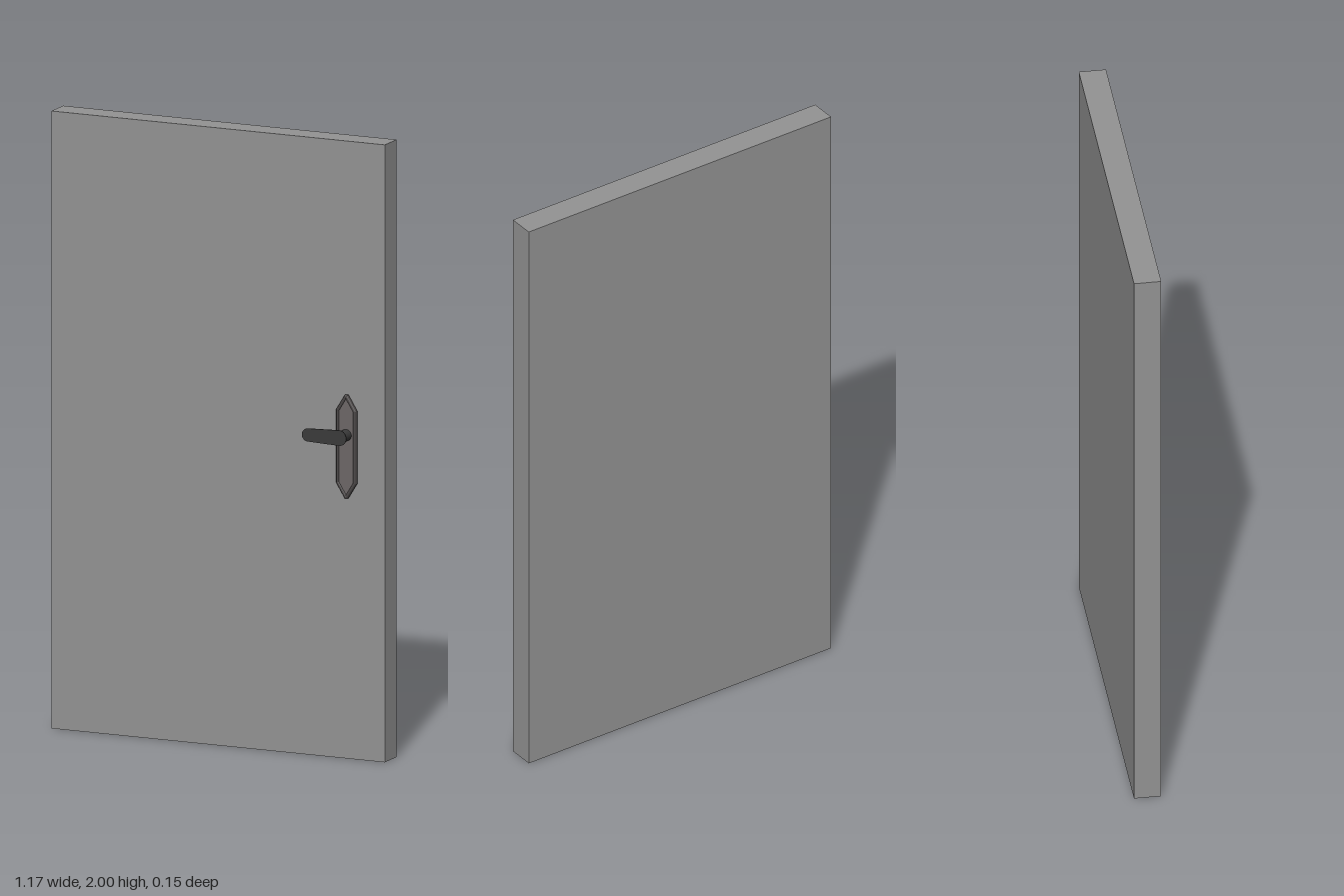
import * as THREE from 'three';

const X = 0.455;       // handle axis
const Y = 1.05;
const FRONT = 0.012;   // front face of the door leaf
const BACK = -0.075;
const TIP = 0.075;     // outer face of the lever

function part(name, geometry, color) {
  const mesh = new THREE.Mesh(geometry, new THREE.MeshStandardMaterial({ color }));
  mesh.name = name;
  return mesh;
}

// Corners of the upright plate with pointed ends, moved inwards by d
function plateOutline(d) {
  const w = 0.036 - d, shoulder = 0.118 - 0.29 * d, t = 0.005 - 0.55 * d, tip = 0.168 - d;
  return [
    [w, -shoulder], [w, shoulder], [t, tip], [-t, tip],
    [-w, shoulder], [-w, -shoulder], [-t, -tip], [t, -tip],
  ].map(([x, y]) => new THREE.Vector2(x, y));
}

// Rounded rim running around the plate
function rimGeometry() {
  const shape = new THREE.Shape(plateOutline(0.005));
  shape.holes.push(new THREE.Path(plateOutline(0.007)));
  return new THREE.ExtrudeGeometry(shape, {
    depth: 0.002, bevelEnabled: true, bevelThickness: 0.007, bevelSize: 0.005, bevelSegments: 4,
  }).translate(0, 0, 0.007);
}

// Flat field inside the rim
function panelGeometry() {
  return new THREE.ExtrudeGeometry(new THREE.Shape(plateOutline(0.006)),
    { depth: 0.013, bevelEnabled: false });
}

// Thin flat lever with round ends, slightly taller at the spindle
function leverGeometry() {
  const shape = new THREE.Shape();
  const r = 0.025, rEnd = 0.021, far = -0.109;
  shape.absarc(0, 0, r, -Math.PI / 2, Math.PI / 2, false);
  shape.lineTo(far, rEnd);
  shape.absarc(far, 0, rEnd, Math.PI / 2, Math.PI * 1.5, false);
  shape.closePath();
  return new THREE.ExtrudeGeometry(shape, { depth: 0.004, bevelEnabled: false, curveSegments: 16 });
}

export function createModel() {
  const model = new THREE.Group();
  model.name = 'door';

  // Door leaf
  const leaf = part('doorLeaf', new THREE.BoxGeometry(1.17, 2, FRONT - BACK), 0x939393);
  leaf.position.set(0, 1, (FRONT + BACK) / 2);
  model.add(leaf);

  // Handle set on the front
  const handle = new THREE.Group();
  handle.name = 'handleSet';

  const plate = new THREE.Group();
  plate.name = 'handlePlate';
  plate.add(part('plateRim', rimGeometry(), 0x4a4646), part('platePanel', panelGeometry(), 0x6c6666));
  plate.position.set(X, 1.012, FRONT);

  const length = TIP - 0.003 - FRONT;
  const spindle = part('spindle',
    new THREE.CylinderGeometry(0.019, 0.019, length, 24).rotateX(Math.PI / 2), 0x3a3a3a);
  spindle.position.set(X, Y, FRONT + length / 2);

  const lever = part('lever', leverGeometry(), 0x3a3a3a);
  lever.position.set(X - 0.001, Y, TIP - 0.004);

  handle.add(plate, spindle, lever);
  model.add(handle);
  return model;
}
